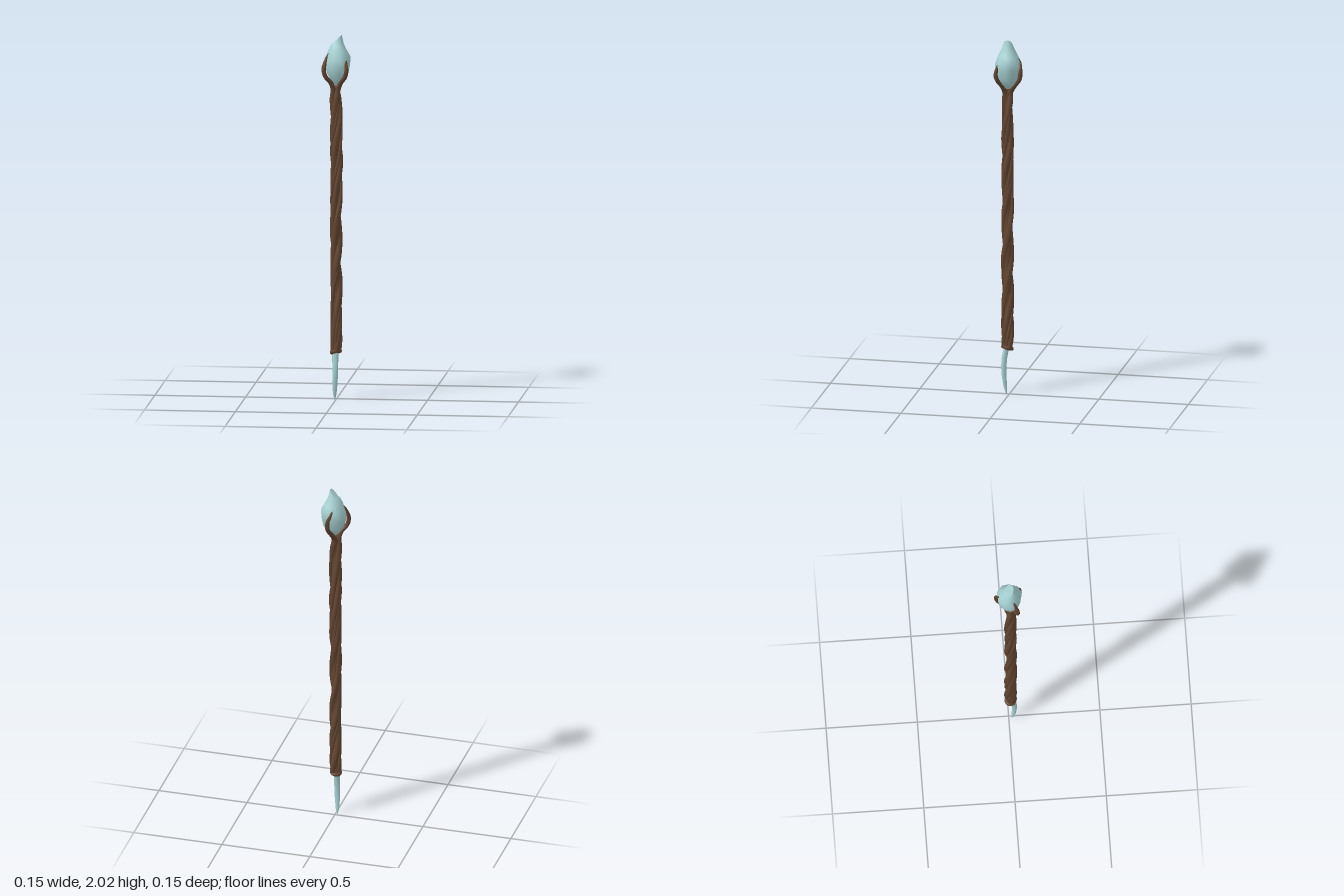
import * as THREE from 'three';

const V = (x, y, z) => new THREE.Vector3(x, y, z);
const AXIS_Z = 0.01; // the shaft stands slightly forward

const wood = new THREE.MeshStandardMaterial({ color: 0x634530 });
wood.name = 'brownWood';
const crystal = new THREE.MeshStandardMaterial({ color: 0xa8d3d5 });
crystal.name = 'paleCrystal';

function add(group, name, geometry, material) {
  const mesh = new THREE.Mesh(geometry, material);
  mesh.name = name;
  group.add(mesh);
  return mesh;
}

// Skin over rings (bottom to top, counter-clockwise from above) with flat caps
function loft(rings) {
  const n = rings[0].length;
  const pos = [], index = [];
  const push = (p) => pos.push(p.x, p.y, p.z) / 3 - 1;
  rings.forEach((ring) => ring.forEach(push));
  for (let r = 0; r < rings.length - 1; r++) {
    for (let i = 0; i < n; i++) {
      const j = (i + 1) % n, a = r * n, b = a + n;
      index.push(a + i, a + j, b + i, a + j, b + j, b + i);
    }
  }
  const cap = (ring, up) => {
    const c = push(ring.reduce((s, p) => s.add(p), V(0, 0, 0)).divideScalar(n));
    const first = ring.map(push)[0];
    for (let i = 0; i < n; i++) {
      const a = first + i, b = first + (i + 1) % n;
      index.push(c, up ? a : b, up ? b : a);
    }
  };
  cap(rings[0], false);
  cap(rings[rings.length - 1], true);
  const g = new THREE.BufferGeometry();
  g.setAttribute('position', new THREE.Float32BufferAttribute(pos, 3));
  g.setIndex(index);
  g.computeVertexNormals();
  return g;
}

// Tube whose radius follows radiusAt(point, u)
function vine(points, radiusAt, steps, sides) {
  const curve = new THREE.CatmullRomCurve3(points);
  const g = new THREE.TubeGeometry(curve, steps, 1, sides);
  const p = g.attributes.position, v = V(0, 0, 0);
  for (let i = 0; i <= steps; i++) {
    const c = curve.getPointAt(i / steps);
    const r = radiusAt(c, i / steps);
    for (let k = 0; k <= sides; k++) {
      const id = i * (sides + 1) + k;
      v.fromBufferAttribute(p, id).sub(c).multiplyScalar(r).add(c);
      p.setXYZ(id, v.x, v.y, v.z);
    }
  }
  return g;
}

// Points of a helix round the shaft, ending at endAngle at the top
function helix(y0, y1, turns, endAngle, offset, phase) {
  const pts = [], n = 30;
  for (let i = 0; i <= n; i++) {
    const t = i / n;
    const a = endAngle - (1 - t) * turns * Math.PI * 2 + 0.25 * Math.sin(t * 14 + phase);
    const r = offset + 0.0015 * Math.sin(t * 23 + phase * 2);
    pts.push(V(Math.sin(a) * r, y0 + (y1 - y0) * t, AXIS_Z + Math.cos(a) * r));
  }
  return pts;
}

export function createModel() {
  const staff = new THREE.Group();
  staff.name = 'staff';

  // Core that closes the gaps between the strands
  const core = add(staff, 'shaftCore', new THREE.CylinderGeometry(0.02, 0.025, 1.45, 12), wood);
  core.position.set(0, 0.985, AXIS_Z);

  // Three twisted strands, each opening into a claw that grips the crystal
  const claws = [
    [V(0.012, 1.755, -0.03), V(0.024, 1.80, -0.062), V(0.024, 1.845, -0.066), V(0.008, 1.885, -0.062), V(-0.001, 1.915, -0.052)],
    [V(-0.03, 1.755, 0.028), V(-0.057, 1.79, 0.043), V(-0.066, 1.83, 0.045), V(-0.055, 1.88, 0.036), V(-0.04, 1.92, 0.024)],
    [V(0.027, 1.755, 0.035), V(0.052, 1.79, 0.055), V(0.061, 1.825, 0.064), V(0.058, 1.865, 0.056), V(0.055, 1.9, 0.044)],
  ];
  claws.forEach((claw, i) => {
    const angle = Math.atan2(claw[0].x, claw[0].z - AXIS_Z);
    const points = [...helix(0.255, 1.715, 2.1, angle, 0.0165, i * 2.1), ...claw];
    const radius = (c, u) => {
      if (u === 0 || u === 1) return 0;
      const shaft = 0.0175 + 0.0015 * Math.sin(c.y * 19 + i * 2);
      const t = THREE.MathUtils.smoothstep(c.y, 1.66, 1.78);
      const tip = Math.sqrt(Math.min(1, (1 - u) / 0.05));
      return THREE.MathUtils.lerp(shaft, 0.012, t) * tip;
    };
    add(staff, 'strandAndClaw' + (i + 1), vine(points, radius, 180, 10), wood);
  });

  // Thinner vines laid over the strands
  for (let i = 0; i < 3; i++) {
    const points = helix(0.27, 1.66, 1.5, i * 2.1 + 0.6, 0.025, i * 1.7 + 1);
    const radius = (c, u) => 0.009 * Math.sqrt(Math.min(1, u * 20, (1 - u) * 12));
    add(staff, 'thinVine' + (i + 1), vine(points, radius, 130, 7), wood);
  }

  // Tilted ring binding the foot of the shaft
  const ring = new THREE.TorusGeometry(0.023, 0.011, 8, 20).rotateX(Math.PI / 2);
  const collar = add(staff, 'footCollar', ring, wood);
  collar.position.set(-0.003, 0.262, AXIS_Z);
  collar.rotation.set(-0.25, 0, 0.22);

  // Head crystal: one irregular outline scaled up the height
  const outline = [
    [0.03, 0.073], [0.065, 0.05], [0.077, 0.003], [0.07, -0.033], [0.035, -0.065],
    [-0.02, -0.06], [-0.05, -0.03], [-0.063, 0.005], [-0.05, 0.04], [-0.015, 0.062],
  ];
  const levels = [
    [1.738, 0.2], [1.765, 0.55], [1.8, 0.82], [1.845, 0.97],
    [1.885, 1], [1.93, 0.74], [1.965, 0.5], [1.99, 0.33],
  ];
  const head = levels.map(([y, s], k) => outline.map(([x, z]) => {
    const top = k === levels.length - 1;
    const wobble = top ? 0.35 * x : 0.12 * (x - z) * (s > 0.9 ? 1 : 0);
    return V(0.005 + (x - 0.005) * s, y + wobble, 0.006 + (z - 0.004) * s);
  }));
  add(staff, 'headCrystal', loft(head), crystal);

  // Curved foot spike: height, centre x, centre z, half width, half depth
  const spike = [
    [0, -0.008, 0.019, 0.003, 0.003], [0.03, -0.008, 0.023, 0.01, 0.009],
    [0.09, -0.006, 0.03, 0.015, 0.013], [0.15, -0.004, 0.032, 0.016, 0.015],
    [0.21, -0.004, 0.027, 0.017, 0.016], [0.28, -0.005, 0.013, 0.018, 0.016],
  ].map(([y, cx, cz, w, d]) => Array.from({ length: 7 }, (_, i) => {
    const a = i / 7 * Math.PI * 2 + y;
    return V(cx + Math.sin(a) * w, y, cz + Math.cos(a) * d);
  }));
  add(staff, 'footSpike', loft(spike), crystal);

  return staff;
}
